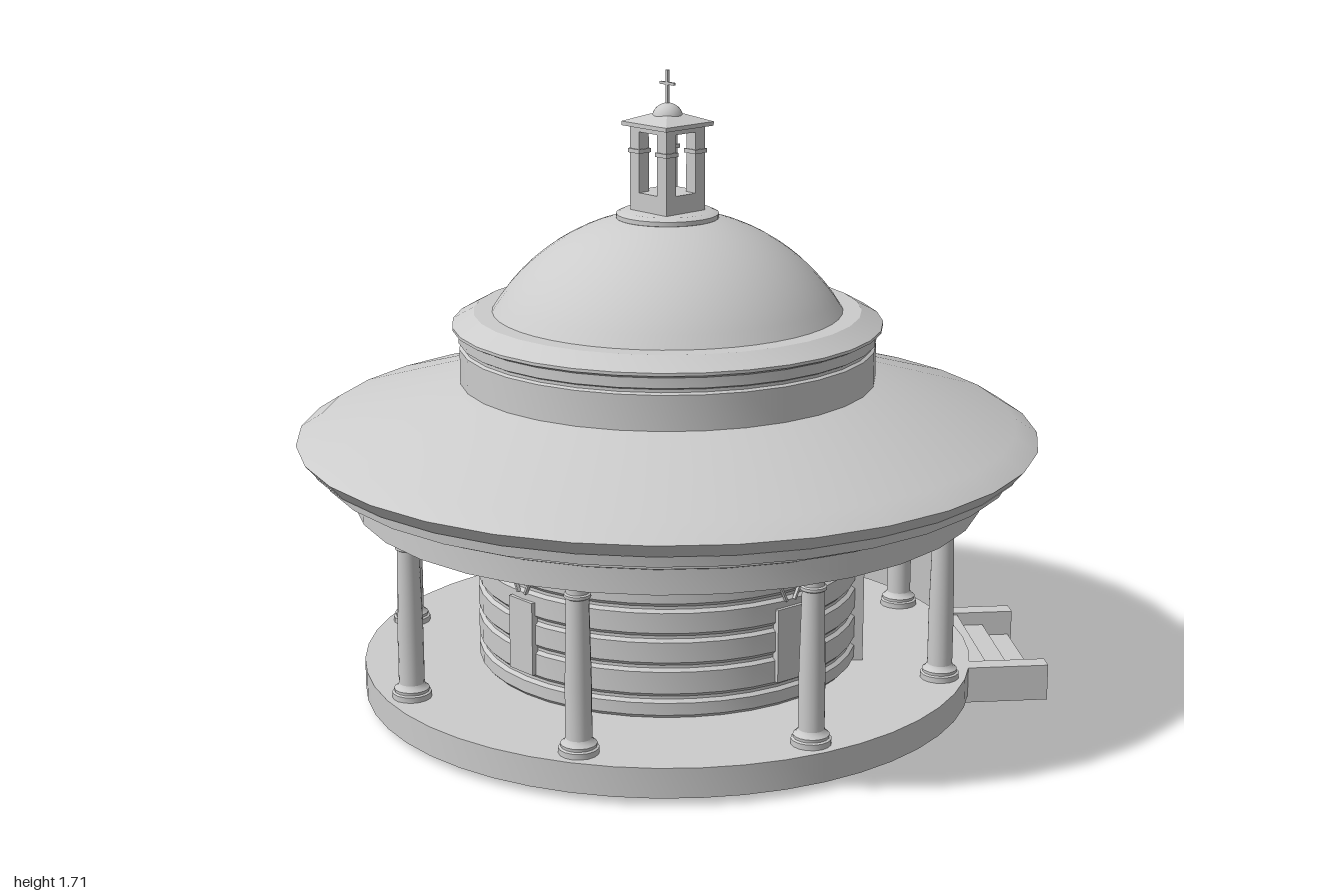
import * as THREE from 'three';
import { toCreasedNormals } from 'three/addons/utils/BufferGeometryUtils.js';

const material = new THREE.MeshStandardMaterial({ color: 0xcccccc, side: THREE.DoubleSide });
const rad = THREE.MathUtils.degToRad;
const AXIS = 38.5; // entrance direction, degrees from +x towards +z

function add(parent, name, geometry, x = 0, y = 0, z = 0) {
  const mesh = new THREE.Mesh(geometry, material);
  mesh.name = name;
  mesh.position.set(x, y, z);
  parent.add(mesh);
  return mesh;
}

function box(parent, name, w, h, d, x, y, z) {
  return add(parent, name, new THREE.BoxGeometry(w, h, d), x, y, z);
}

// Turned solid from [radius, height] pairs, listed bottom to top
function turned(parent, name, profile, segments = 32) {
  const points = profile.map(([r, y]) => new THREE.Vector2(r, y));
  return add(parent, name, toCreasedNormals(new THREE.LatheGeometry(points, segments), rad(28)));
}

// Group whose local +z points outwards at the given angle
function facing(parent, name, degrees) {
  const group = new THREE.Group();
  group.name = name;
  group.rotation.y = Math.PI / 2 - rad(degrees);
  parent.add(group);
  return group;
}

function addWall(parent) {
  // Rusticated courses separated by shallow grooves
  const profile = [[0.505, 0.1]];
  const joints = [0.155, 0.24, 0.32, 0.4, 0.485];
  let bottom = 0.1;
  for (const joint of [...joints, 0.56]) {
    profile.push([0.51, bottom], [0.52, bottom + 0.01], [0.52, joint - 0.012], [0.51, joint - 0.004]);
    bottom = joint + 0.004;
  }
  turned(parent, 'wall', profile, 40);
}

function addColumn(parent, degrees) {
  const group = facing(parent, 'column', degrees);
  const column = turned(group, 'columnShaft', [
    [0, 0.1], [0.052, 0.1], [0.052, 0.115], [0.046, 0.118], [0.047, 0.126], [0.038, 0.133],
    [0.034, 0.14], [0.034, 0.28], [0.029, 0.5], [0.029, 0.508], [0.034, 0.511], [0.034, 0.519],
    [0.029, 0.522], [0.029, 0.535], [0.036, 0.545], [0.036, 0.556],
  ], 16);
  column.position.z = 0.765;
}

function addDoor(parent) {
  const door = facing(parent, 'door', AXIS + 1);
  box(door, 'doorBacking', 0.24, 0.275, 0.04, 0, 0.2375, 0.485);
  box(door, 'doorLintel', 0.28, 0.022, 0.06, 0, 0.379, 0.503);
  for (const side of [-1, 1]) {
    box(door, 'doorJamb', 0.03, 0.27, 0.055, side * 0.117, 0.235, 0.5);
    box(door, 'doorLeaf', 0.096, 0.262, 0.015, side * 0.05, 0.232, 0.508);
    for (const [y, h] of [[0.15, 0.065], [0.27, 0.14]]) {
      box(door, 'doorPanel', 0.06, h, 0.008, side * 0.05, y, 0.517);
    }
    add(door, 'doorHandle', new THREE.SphereGeometry(0.006, 8, 6), side * 0.011, 0.235, 0.52);
  }
  // Semicircular fanlight with radiating bars
  const arch = new THREE.Shape();
  arch.absarc(0, 0, 0.115, 0, Math.PI, false);
  arch.absarc(0, 0, 0.095, Math.PI, 0, true);
  add(door, 'fanlightArch', new THREE.ExtrudeGeometry(arch, {
    depth: 0.07, bevelEnabled: false, curveSegments: 20,
  }), 0, 0.385, 0.46);
  add(door, 'fanlightPane', new THREE.CircleGeometry(0.1, 20, 0, Math.PI), 0, 0.385, 0.513);
  add(door, 'fanlightHub', new THREE.CylinderGeometry(0.03, 0.03, 0.02, 16, 1, false, -Math.PI / 2, Math.PI),
    0, 0.388, 0.518).rotation.x = -Math.PI / 2;
  for (let i = 1; i < 6; i++) {
    const a = (i * Math.PI) / 6;
    const bar = box(door, 'fanlightBar', 0.075, 0.006, 0.014, 0.062 * Math.cos(a), 0.385 + 0.062 * Math.sin(a), 0.516);
    bar.rotation.z = a;
  }
}

function addPlaque(parent, degrees) {
  const plaque = facing(parent, 'plaque', degrees);
  box(plaque, 'plaquePanel', 0.092, 0.2, 0.02, 0, 0.27, 0.518);
  // Stems and blossoms above the panel
  for (const side of [-1, 1]) {
    const stem = box(plaque, 'flowerStem', 0.006, 0.045, 0.01, side * 0.023, 0.407, 0.521);
    stem.rotation.z = -side * 0.45;
  }
  for (const [x, y] of [[-0.018, 0.466], [0.018, 0.466], [0, 0.482], [-0.008, 0.448], [0.012, 0.448]]) {
    add(plaque, 'blossom', new THREE.IcosahedronGeometry(0.009, 1), x, y, 0.52);
  }
}

function addStairs(parent) {
  const stairs = facing(parent, 'stairs', AXIS - 1);
  const inner = 0.79;
  for (const side of [-1, 1]) {
    box(stairs, 'stairCheek', 0.05, 0.1, 1.02 - inner, side * 0.215, 0.05, (1.02 + inner) / 2);
  }
  for (const [top, outer] of [[0.03, 1.01], [0.062, 0.935], [0.094, 0.86]]) {
    box(stairs, 'step', 0.38, top, outer - inner, 0, top / 2, (outer + inner) / 2);
  }
}

function addLantern(parent) {
  const lantern = new THREE.Group();
  lantern.name = 'lantern';
  parent.add(lantern);
  turned(lantern, 'lanternFoot', [[0.115, 1.3], [0.137, 1.316], [0.137, 1.328], [0.12, 1.336], [0, 1.336]]);
  box(lantern, 'lanternPlinth', 0.14, 0.05, 0.14, 0, 1.36, 0);
  for (const x of [-1, 1]) {
    for (const z of [-1, 1]) {
      box(lantern, 'lanternPost', 0.035, 0.175, 0.035, x * 0.0525, 1.4725, z * 0.0525);
      box(lantern, 'lanternPostBand', 0.043, 0.011, 0.043, x * 0.0525, 1.495, z * 0.0525);
    }
  }
  box(lantern, 'lanternLintel', 0.14, 0.014, 0.14, 0, 1.554, 0);
  box(lantern, 'lanternEave', 0.172, 0.011, 0.172, 0, 1.5665, 0);
  // Four-sided roof
  const roof = new THREE.CylinderGeometry(0.045, 0.122, 0.02, 4).toNonIndexed();
  roof.computeVertexNormals();
  add(lantern, 'lanternRoof', roof, 0, 1.582, 0).rotation.y = Math.PI / 4;
  add(lantern, 'lanternCap', new THREE.SphereGeometry(0.042, 20, 10, 0, Math.PI * 2, 0, Math.PI / 2), 0, 1.579, 0);
  box(lantern, 'crossPost', 0.007, 0.095, 0.007, 0, 1.66, 0);
  box(lantern, 'crossBar', 0.007, 0.007, 0.055, 0, 1.672, 0);
}

export function createModel() {
  const model = new THREE.Group();
  model.name = 'rotunda';

  turned(model, 'platform', [[0, 0.02], [0.835, 0.02], [0.835, 0.1], [0, 0.1]], 48);
  addWall(model);

  // Entablature and shallow conical roof
  turned(model, 'entablature', [
    [0, 0.555], [0.85, 0.555], [0.85, 0.62], [0.865, 0.626], [0.865, 0.634], [0.85, 0.64],
    [0.875, 0.645], [0.875, 0.655], [0.935, 0.655], [0.94, 0.69], [0.97, 0.692],
  ]);
  turned(model, 'mainRoof', [[0.965, 0.69], [1, 0.73], [0.94, 0.768], [0.56, 0.882]]);

  // Drum with cornice
  turned(model, 'drum', [
    [0.56, 0.87], [0.56, 0.975], [0.552, 0.98], [0.552, 0.988], [0.562, 0.993],
    [0.562, 1.02], [0.578, 1.028], [0.578, 1.036], [0.52, 1.068], [0.46, 1.068],
  ]);

  // Dome as a spherical cap
  const dome = [];
  const radius = 0.549;
  for (let i = 0; i <= 14; i++) {
    const a = Math.acos(0.47 / radius) + (Math.PI / 2 - Math.acos(0.47 / radius)) * (i / 14);
    dome.push([radius * Math.cos(a), 0.784 + radius * Math.sin(a)]);
  }
  turned(model, 'dome', dome, 48);
  addLantern(model);

  for (let i = 0; i < 8; i++) addColumn(model, 15 + i * 45);
  for (const angle of [-5.5, 95.5, 180, 262]) addPlaque(model, angle);
  addDoor(model);
  addStairs(model);
  return model;
}
